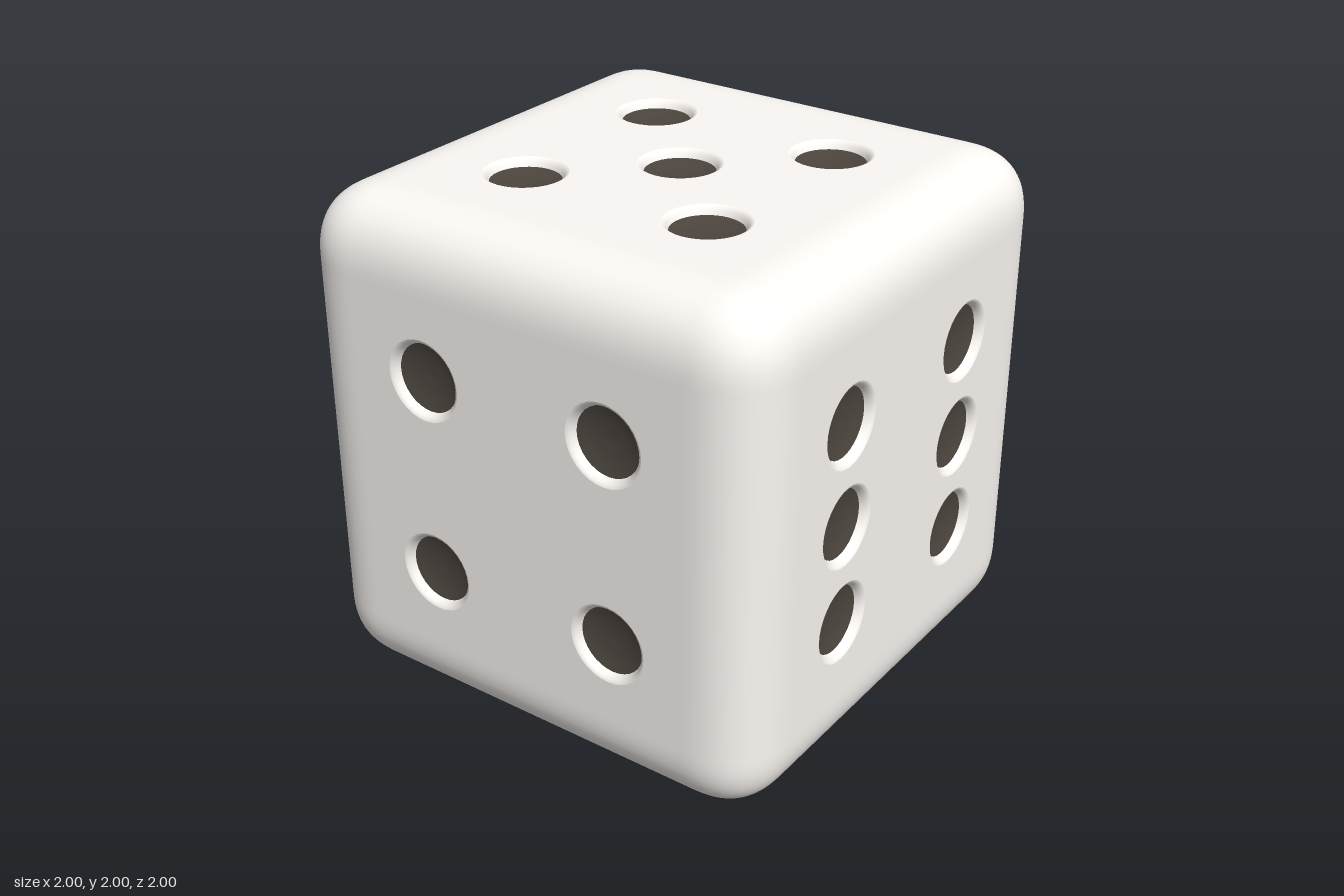
import * as THREE from 'three';
import { RoundedBoxGeometry } from 'three/addons/geometries/RoundedBoxGeometry.js';
import { mergeGeometries } from 'three/addons/utils/BufferGeometryUtils.js';

const EDGE = 0.28;   // reach of the rounded edges
const POWER = 2.5;   // edge profile: 2 is a circle, higher is squarer
const RIM = 0.16;    // pip opening radius
const CUP = 0.134;   // dark cup radius
const SEGMENTS = 32;
const S = 0.4;       // pip spacing

const PAIR = [[S, -S], [-S, S]];
const DIAGONAL = [[-S, -S], [S, S]];
const FOUR = [...PAIR, ...DIAGONAL];

// Each face: turn of the +z face about x and y, and pip centres on it
const FACES = [
  { name: 'front', rx: 0, ry: 0, pips: [...FOUR, [-S, 0], [S, 0]] },
  { name: 'back', rx: 0, ry: Math.PI, pips: [[0, 0]] },
  { name: 'right', rx: 0, ry: Math.PI / 2, pips: [...DIAGONAL, [0, 0]] },
  { name: 'left', rx: 0, ry: -Math.PI / 2, pips: FOUR },
  { name: 'top', rx: -Math.PI / 2, ry: 0, pips: [...FOUR, [0, 0]] },
  { name: 'bottom', rx: Math.PI / 2, ry: 0, pips: PAIR },
];

// Soft edges and corners: a rounded box without its six flat panels,
// its round profile changed to a superellipse that eases into the faces
function softEdges() {
  const source = new RoundedBoxGeometry(2, 2, 2, 8, EDGE);
  const p = source.attributes.position, n = source.attributes.normal;
  const positions = [], normals = [];
  for (let i = 0; i < p.count; i += 3) {
    const flat = [0, 1, 2].some((axis) => [0, 1, 2].every(
      (k) => Math.abs(p.getComponent(i + k, axis)) > 0.99999));
    if (flat) continue;
    for (let k = i; k < i + 3; k++) {
      const round = new THREE.Vector3().fromBufferAttribute(n, k);
      const centre = new THREE.Vector3().fromBufferAttribute(p, k).addScaledVector(round, -EDGE);
      const size = round.toArray().reduce((sum, c) => sum + Math.abs(c) ** POWER, 0) ** (1 / POWER);
      const normal = new THREE.Vector3(
        ...round.toArray().map((c) => Math.sign(c) * Math.abs(c) ** (POWER - 1))).normalize();
      positions.push(...centre.addScaledVector(round, EDGE / size));
      normals.push(...normal);
    }
  }
  const g = new THREE.BufferGeometry();
  g.setAttribute('position', new THREE.Float32BufferAttribute(positions, 3));
  g.setAttribute('normal', new THREE.Float32BufferAttribute(normals, 3));
  return g;
}

// Flat panel with a round opening for every pip
function panel(pips) {
  const h = 1 - EDGE;
  const shape = new THREE.Shape([[-h, -h], [h, -h], [h, h], [-h, h]].map(([x, y]) => new THREE.Vector2(x, y)));
  for (const [x, y] of pips) {
    shape.holes.push(new THREE.Path().absarc(x, y, RIM, 0, Math.PI * 2, true));
  }
  return plain(new THREE.ShapeGeometry(shape, SEGMENTS / 2));
}

// Lathe whose axis points out of the +z face, profile listed from rim inward
function recess(profile) {
  const points = profile.map(([r, d]) => new THREE.Vector2(r, d));
  return plain(new THREE.LatheGeometry(points, SEGMENTS).rotateX(Math.PI / 2));
}

function plain(geometry) {
  const g = geometry.toNonIndexed();
  g.deleteAttribute('uv');
  return g;
}

export function createModel() {
  const model = new THREE.Group();
  model.name = 'die';
  const white = new THREE.MeshStandardMaterial({ color: 0xfcf8f4 });
  const dark = new THREE.MeshStandardMaterial({ color: 0x4c453e });

  // Softened lip rolling into each opening, and the shallow dark cup below it
  const lip = recess([[RIM, 0], [0.154, -0.002], [0.147, -0.008], [0.14, -0.018], [CUP, -0.032]]);
  const cup = recess([[CUP, -0.032], [0.1, -0.042], [0.06, -0.049], [0, -0.052]]);

  const bodyParts = [softEdges()];
  for (const { name, rx, ry, pips } of FACES) {
    const place = (g, x, y) => g.clone().translate(x, y, 1).rotateX(rx).rotateY(ry);
    bodyParts.push(place(panel(pips), 0, 0));
    for (const [x, y] of pips) bodyParts.push(place(lip, x, y));

    const cups = new THREE.Mesh(mergeGeometries(pips.map(([x, y]) => place(cup, x, y))), dark);
    cups.name = `${name}Pips`;
    cups.position.y = 1;
    model.add(cups);
  }

  const body = new THREE.Mesh(mergeGeometries(bodyParts), white);
  body.name = 'body';
  body.position.y = 1;
  model.add(body);
  return model;
}
